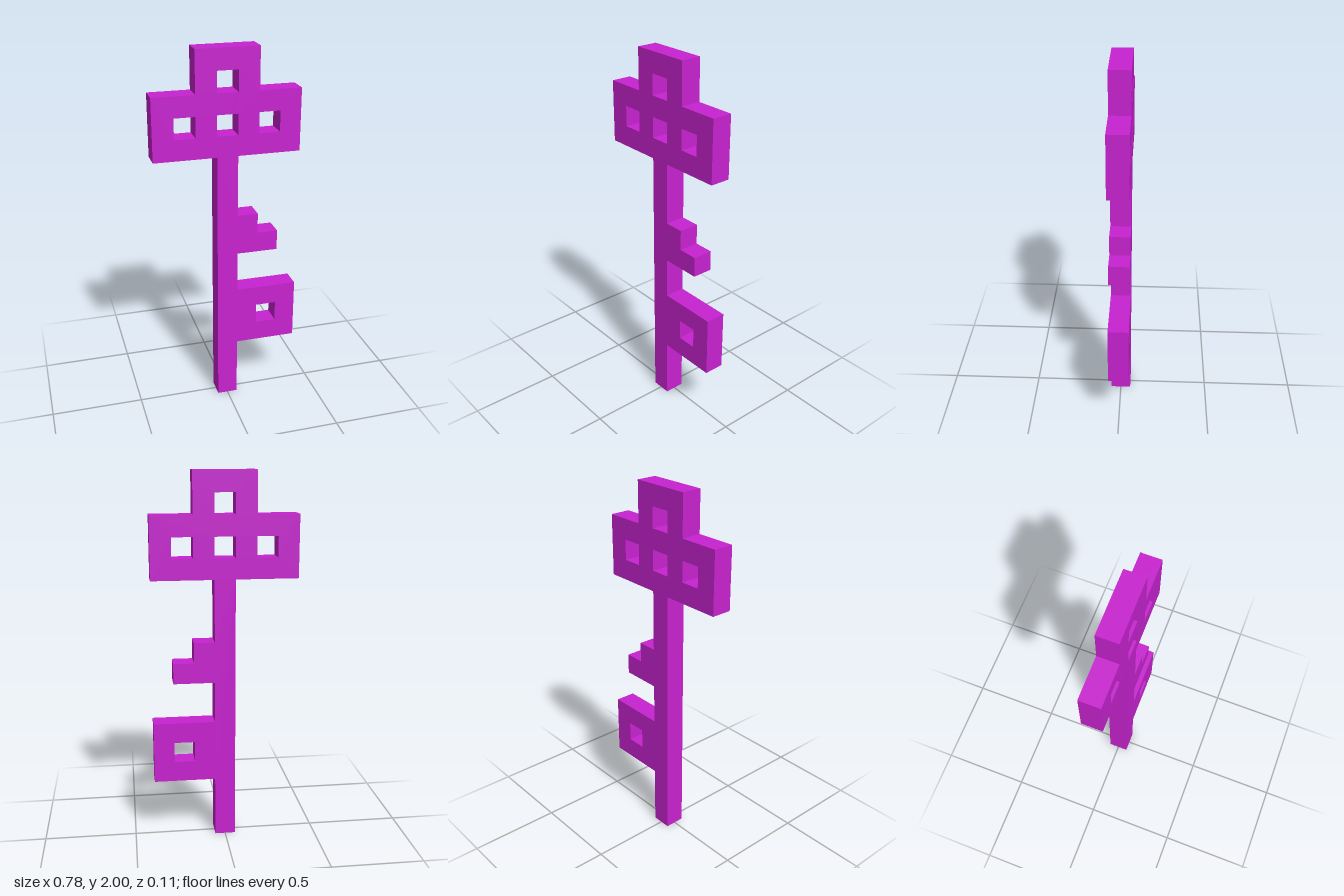
import * as THREE from 'three';

// Everything sits on a square grid, 18 cells tall
const CELL = 1 / 9;

const toPoints = (cells) => cells.map(([x, y]) => new THREE.Vector2(x * CELL, y * CELL));

// One-cell square hole with its lower left corner at (x, y)
const squareHole = (x, y) =>
  new THREE.Path(toPoints([[x, y], [x, y + 1], [x + 1, y + 1], [x + 1, y]]));

export function createModel() {
  const magenta = new THREE.MeshStandardMaterial({ color: 0xc822d0 });
  magenta.name = 'magenta';

  // Outline, anticlockwise from the tip of the shaft
  const outline = new THREE.Shape(toPoints([
    [-0.5, 0], [0.5, 0],
    [0.5, 3], [3.5, 3], [3.5, 6], [0.5, 6],                      // large square bit
    [0.5, 8], [2.5, 8], [2.5, 9], [1.5, 9], [1.5, 10], [0.5, 10], // stepped tooth
    [0.5, 13], [3.5, 13], [3.5, 16], [1.5, 16], [1.5, 18],        // bow, right half
    [-1.5, 18], [-1.5, 16], [-3.5, 16], [-3.5, 13], [-0.5, 13],   // bow, left half
  ]));

  // Holes: three across the bow, one in its crown, one in the bit
  for (const [x, y] of [[-2.5, 14], [-0.5, 14], [1.5, 14], [-0.5, 16], [1.5, 4]]) {
    outline.holes.push(squareHole(x, y));
  }

  // Flat plate one cell thick, centred on z = 0
  const geometry = new THREE.ExtrudeGeometry(outline, { depth: CELL, bevelEnabled: false });
  geometry.translate(0, 0, -CELL / 2);

  const keyBody = new THREE.Mesh(geometry, magenta);
  keyBody.name = 'keyBody';

  const key = new THREE.Group();
  key.name = 'key';
  key.add(keyBody);
  return key;
}
